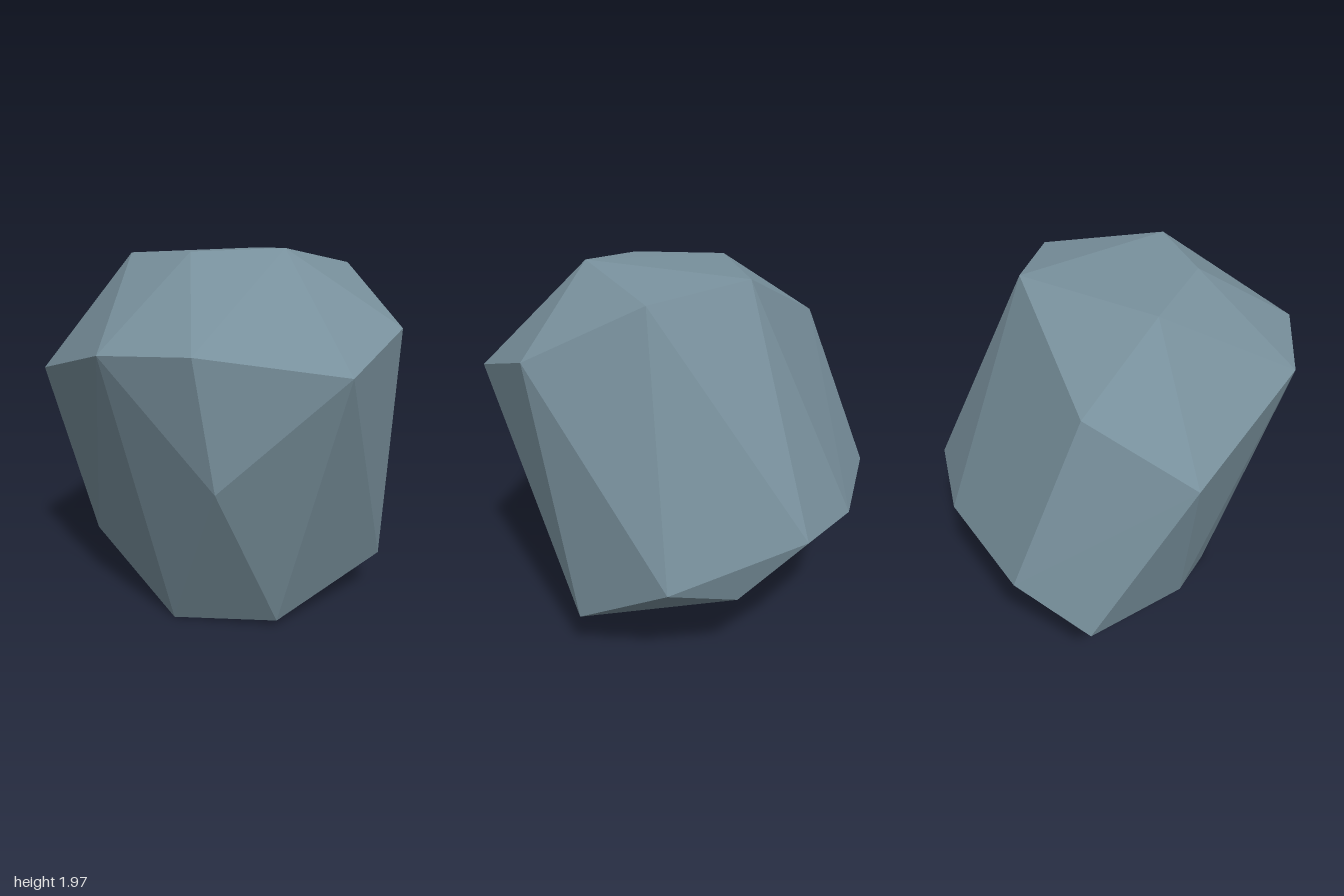
import * as THREE from 'three';
import { ConvexGeometry } from 'three/addons/geometries/ConvexGeometry.js';

// Faceted boulder: tilted rings of corners wrapped in a convex skin.
const rings = {
  crown: [[-0.47, 1.92, 0.08], [-0.06, 1.95, 0.39], [0.4, 1.97, 0.33], [0.66, 1.86, -0.29], [0.11, 1.92, -0.49], [-0.76, 1.6, -0.34]],
  shoulder: [[-0.98, 1.28, 0.16], [-0.4, 1.5, 0.83], [0.1, 1.545, 0.995], [0.78, 1.43, 0.74], [0.98, 1.58, 0.21]],
  waist: [[0.19, 0.9, 0.94], [0.87, 0.56, -0.57], [0.325, 0.75, -1], [-0.16, 0.71, -0.97], [-0.825, 0.72, -0.71]],
  base: [[-0.14, 0, 0.505], [0.42, 0.04, 0.49], [0.92, 0.25, -0.03], [0.55, 0.45, -0.75], [-0.98, 0.435, -0.36], [-0.685, 0.345, 0.19]],
};

export function createModel() {
  const group = new THREE.Group();
  group.name = 'boulder';
  const stone = new THREE.MeshStandardMaterial({ color: 0x78909c, flatShading: true });
  stone.name = 'slate stone';
  const corners = Object.values(rings).flat().map((p) => new THREE.Vector3(...p));
  const rock = new THREE.Mesh(new ConvexGeometry(corners), stone);
  rock.name = 'rock';
  group.add(rock);
  return group;
}
